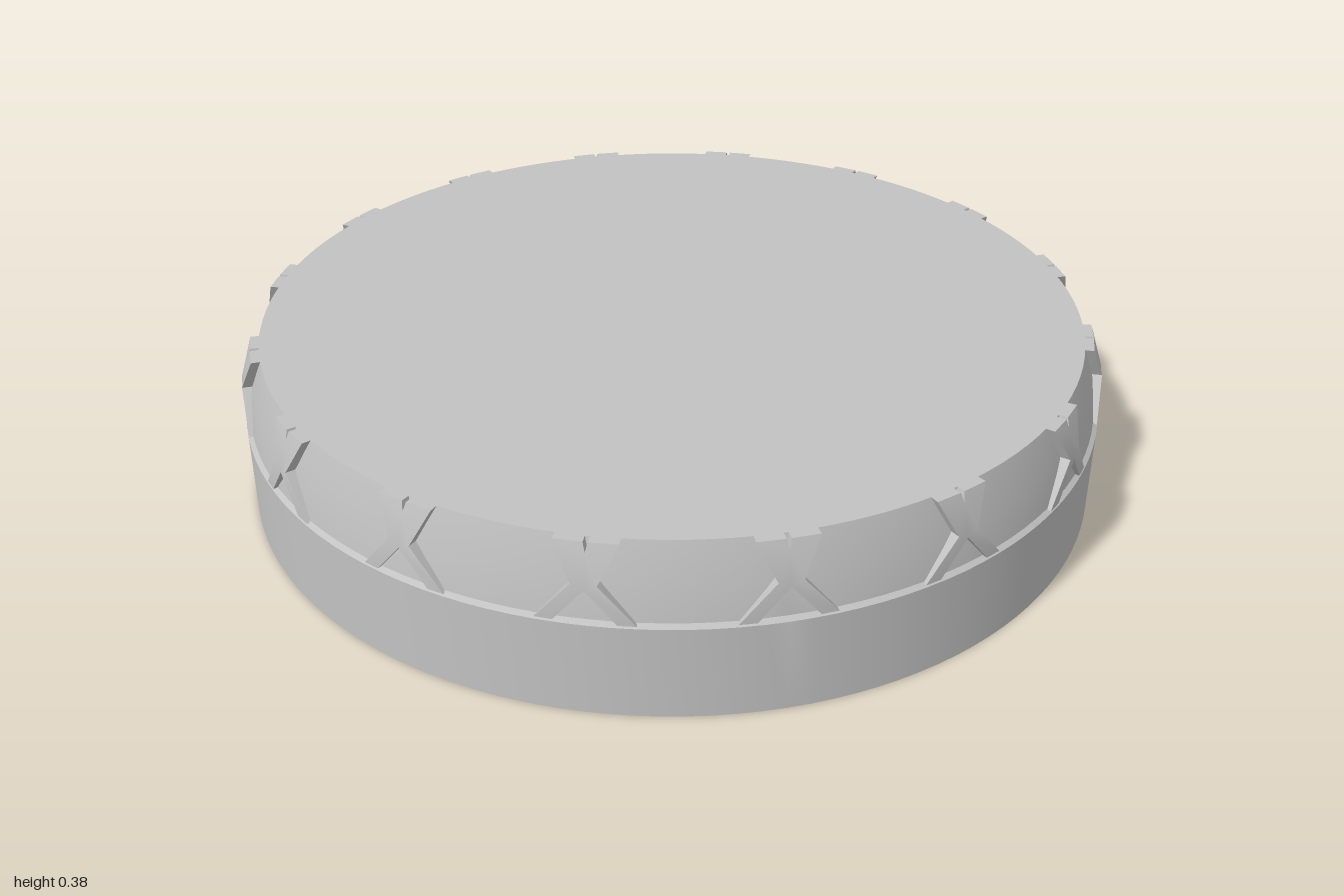
import * as THREE from 'three';
import { toCreasedNormals } from 'three/addons/utils/BufferGeometryUtils.js';

const COUNT = 16, TOP = 0.385, STEP = 0.22, WALL = 0.91;

// Bends a flat outline (x = arc length, y = height, z = 0..1 depth) around the lid
function wrapAround(geometry, outerRadius, innerRadius) {
  const p = geometry.attributes.position;
  for (let i = 0; i < p.count; i++) {
    const y = p.getY(i), a = p.getX(i);
    const r = p.getZ(i) > 0.5 ? outerRadius(y) : innerRadius;
    p.setXYZ(i, Math.sin(a) * r, y, Math.cos(a) * r);
  }
  return toCreasedNormals(geometry, 0.4);
}

// Helical ridge of trapezoid section on the inner wall, fading out at both ends
function threadGeometry(start, turns, y0, pitch) {
  const steps = 180, pos = [], idx = [];
  const section = [[-0.05, 0], [-0.022, 1], [0.022, 1], [0.05, 0]];
  for (let i = 0; i <= steps; i++) {
    const u = i / steps, t = start + u * turns * Math.PI * 2;
    const fade = Math.min(1, u * 16, (1 - u) * 16);
    for (const [dy, d] of section) {
      const r = WALL + 0.004 - d * 0.047 * fade;
      pos.push(Math.sin(t) * r, y0 + u * turns * pitch + dy, Math.cos(t) * r);
    }
  }
  for (let i = 0; i < steps; i++) {
    for (let j = 0; j < 3; j++) {
      const a = i * 4 + j, b = a + 1, c = a + 4, d = a + 5;
      idx.push(a, b, c, b, d, c);
    }
  }
  const g = new THREE.BufferGeometry();
  g.setAttribute('position', new THREE.Float32BufferAttribute(pos, 3));
  g.setIndex(idx);
  return toCreasedNormals(g, 0.4);
}

export function createModel() {
  const group = new THREE.Group();
  const grey = new THREE.MeshStandardMaterial({ color: 0xc2c2c2 });
  grey.name = 'light grey';
  const add = (name, geometry, parent = group) => {
    const mesh = new THREE.Mesh(geometry, grey);
    mesh.name = name;
    parent.add(mesh);
    return mesh;
  };

  // Hollow lid: ceiling, inner wall, rim, outer wall, sloped shoulder, top
  const profile = [
    [0, 0.32], [0.88, 0.32], [WALL, 0.3], [WALL, 0.03], [0.93, 0],
    [1, 0], [1, 0.212], [0.99, STEP], [0.978, 0.3], [0.952, TOP], [0, TOP],
  ].map(([r, y]) => new THREE.Vector2(r, y));
  add('lidShell', toCreasedNormals(new THREE.LatheGeometry(profile, 128), 0.4));

  // Inner screw thread
  add('screwThread', threadGeometry(-0.8, 1.6, 0.055, 0.14));

  // Raised grip crosses: solid upper arms with a small notch, two splayed legs
  const half = [
    [0.005, TOP], [0.066, TOP], [0.026, 0.305], [0.1, 0.217], [0.063, 0.217],
  ];
  const outline = [
    [0, 0.365], ...half, [0, 0.293],
    ...half.map(([x, y]) => [-x, y]).reverse(),
  ].map(([x, y]) => new THREE.Vector2(x, y));
  const crossRadius = (y) => (y > 0.31 ? 0.997 - 0.025 * (y - 0.31) / 0.075 : 0.999);
  const cross = wrapAround(
    new THREE.ExtrudeGeometry(new THREE.Shape(outline), { depth: 1, bevelEnabled: false }),
    crossRadius, 0.94);
  const crosses = new THREE.Group();
  crosses.name = 'gripCrosses';
  group.add(crosses);
  for (let i = 0; i < COUNT; i++) {
    add('gripCross', cross, crosses).rotation.y = (i / COUNT) * Math.PI * 2;
  }

  return group;
}
